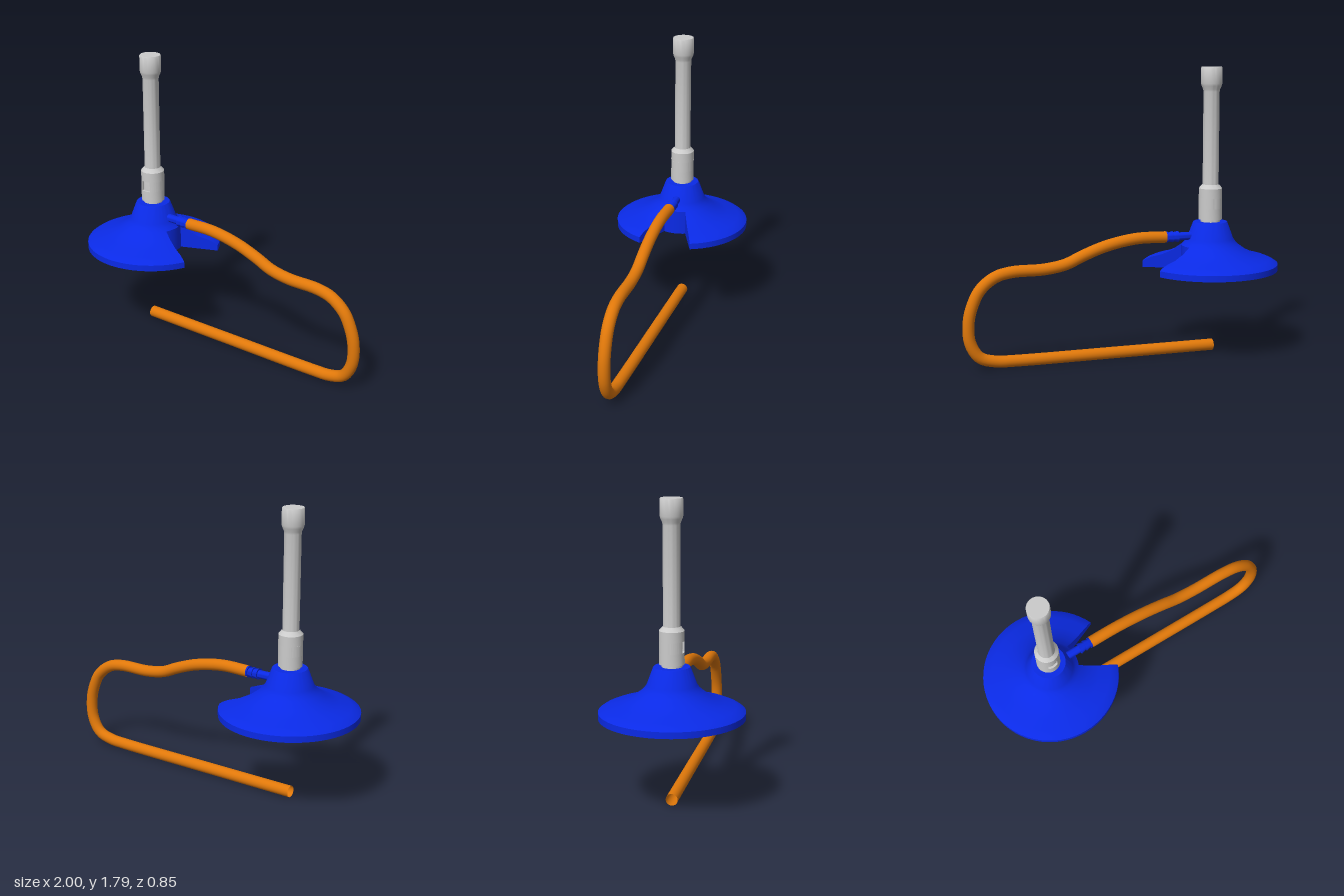
import * as THREE from 'three';
import { toCreasedNormals } from 'three/addons/utils/BufferGeometryUtils.js';

const AXIS_X = -0.575;
const grey = new THREE.MeshStandardMaterial({ color: 0xcccccc });
const blue = new THREE.MeshStandardMaterial({ color: 0x0a2ae6 });
const orange = new THREE.MeshStandardMaterial({ color: 0xe0780a, side: THREE.DoubleSide });

function add(parent, name, geometry, material) {
  const mesh = new THREE.Mesh(geometry, material);
  mesh.name = name;
  parent.add(mesh);
  return mesh;
}

// Turned part from [radius, height] pairs, with crisp edges kept
function turned(points, segments = 40) {
  const profile = points.map(([r, y]) => new THREE.Vector2(r, y));
  return toCreasedNormals(new THREE.LatheGeometry(profile, segments), 0.6);
}

// Flared foot: a turned profile whose flange is cut back to the neck inside a wedge
function footGeometry() {
  const profile = [
    [0, 0.53], [0.18, 0.53], [0.425, 0.53], [0.425, 0.568], [0.405, 0.582], [0.37, 0.597],
    [0.30, 0.615], [0.23, 0.647], [0.18, 0.683], [0.16, 0.703], [0.145, 0.725],
    [0.108, 0.825], [0.104, 0.83], [0, 0.83],
  ];
  const half = THREE.MathUtils.degToRad(23);
  const columns = [];
  const addArc = (from, to, steps, limit) => {
    for (let i = 0; i <= steps; i++) columns.push([from + (to - from) * i / steps, limit]);
  };
  addArc(half, 2 * Math.PI - half, 56, 1);
  addArc(-half, half, 10, 0.18);
  const positions = [], index = [];
  for (const [a, limit] of columns) {
    for (const [radius, y] of profile) {
      const r = Math.min(radius, limit);
      positions.push(r * Math.cos(a), y, -r * Math.sin(a));
    }
  }
  const n = profile.length;
  for (let i = 0; i < columns.length; i++) {
    const next = (i + 1) % columns.length;
    for (let j = 0; j < n - 1; j++) {
      const a = i * n + j, b = next * n + j;
      index.push(a, b, b + 1, a, b + 1, a + 1);
    }
  }
  const geometry = new THREE.BufferGeometry();
  geometry.setAttribute('position', new THREE.Float32BufferAttribute(positions, 3));
  geometry.setIndex(index);
  return toCreasedNormals(geometry, 0.6);
}

// Ring wall with an opening towards +z
function slottedRing(outer, inner, halfWidth, height) {
  const a = Math.asin(halfWidth / outer), b = Math.asin(halfWidth / inner);
  const shape = new THREE.Shape();
  // The shape's -y becomes +z once the extrusion is stood upright
  shape.absarc(0, 0, outer, -Math.PI / 2 + a, 1.5 * Math.PI - a, false);
  shape.absarc(0, 0, inner, 1.5 * Math.PI - b, -Math.PI / 2 + b, true);
  const geometry = new THREE.ExtrudeGeometry(shape, { depth: height, bevelEnabled: false, curveSegments: 40 });
  geometry.rotateX(-Math.PI / 2);
  return toCreasedNormals(geometry, 0.6);
}

export function createModel() {
  const model = new THREE.Group();
  model.name = 'gasBurner';

  const burner = new THREE.Group();
  burner.name = 'burner';
  burner.position.x = AXIS_X;
  model.add(burner);

  add(burner, 'foot', footGeometry(), blue);

  // Barrel with its flared mouth; the lower end runs inside the collar
  add(burner, 'barrel', turned([
    [0, 0.82], [0.06, 0.82], [0.06, 1.0], [0.052, 1.05], [0.05, 1.07], [0.05, 1.64],
    [0.053, 1.655], [0.062, 1.675], [0.066, 1.69], [0.066, 1.785], [0.063, 1.79], [0, 1.79],
  ]), grey);

  // Air collar with a square port at the front
  const collar = new THREE.Group();
  collar.name = 'airCollar';
  burner.add(collar);
  add(collar, 'collarLower', turned([[0, 0.845], [0.073, 0.845], [0.073, 0.915], [0.05, 0.915]]), grey);
  add(collar, 'collarMiddle', slottedRing(0.073, 0.058, 0.031, 0.065), grey).position.y = 0.915;
  add(collar, 'collarUpper', turned([
    [0.05, 0.98], [0.073, 0.98], [0.073, 1.04], [0.07, 1.043], [0.052, 1.065],
  ]), grey);

  // Barbed gas inlet, turned about x
  const inlet = add(model, 'gasInlet', turned([
    [0, 0], [0.025, 0], [0.025, 0.10], [0.035, 0.10], [0.027, 0.135], [0.035, 0.135],
    [0.027, 0.17], [0.035, 0.17], [0.028, 0.20], [0, 0.20],
  ], 24), blue);
  inlet.rotation.z = -Math.PI / 2;
  inlet.position.set(-0.46, 0.745, 0);

  // Rubber hose
  const path = new THREE.CatmullRomCurve3([
    [-0.28, 0.746], [-0.09, 0.746], [0.1, 0.712], [0.25, 0.66], [0.36, 0.613], [0.49, 0.59],
    [0.7, 0.585], [0.8, 0.56], [0.885, 0.495], [0.925, 0.43], [0.962, 0.31], [0.957, 0.17],
    [0.9, 0.075], [0.8, 0.043], [0.7, 0.038], [0, 0.037], [-0.595, 0.037],
  ].map(([x, y]) => new THREE.Vector3(x, y, 0)), false, 'centripetal');
  add(model, 'hose', new THREE.TubeGeometry(path, 120, 0.036, 20), orange);

  return model;
}
